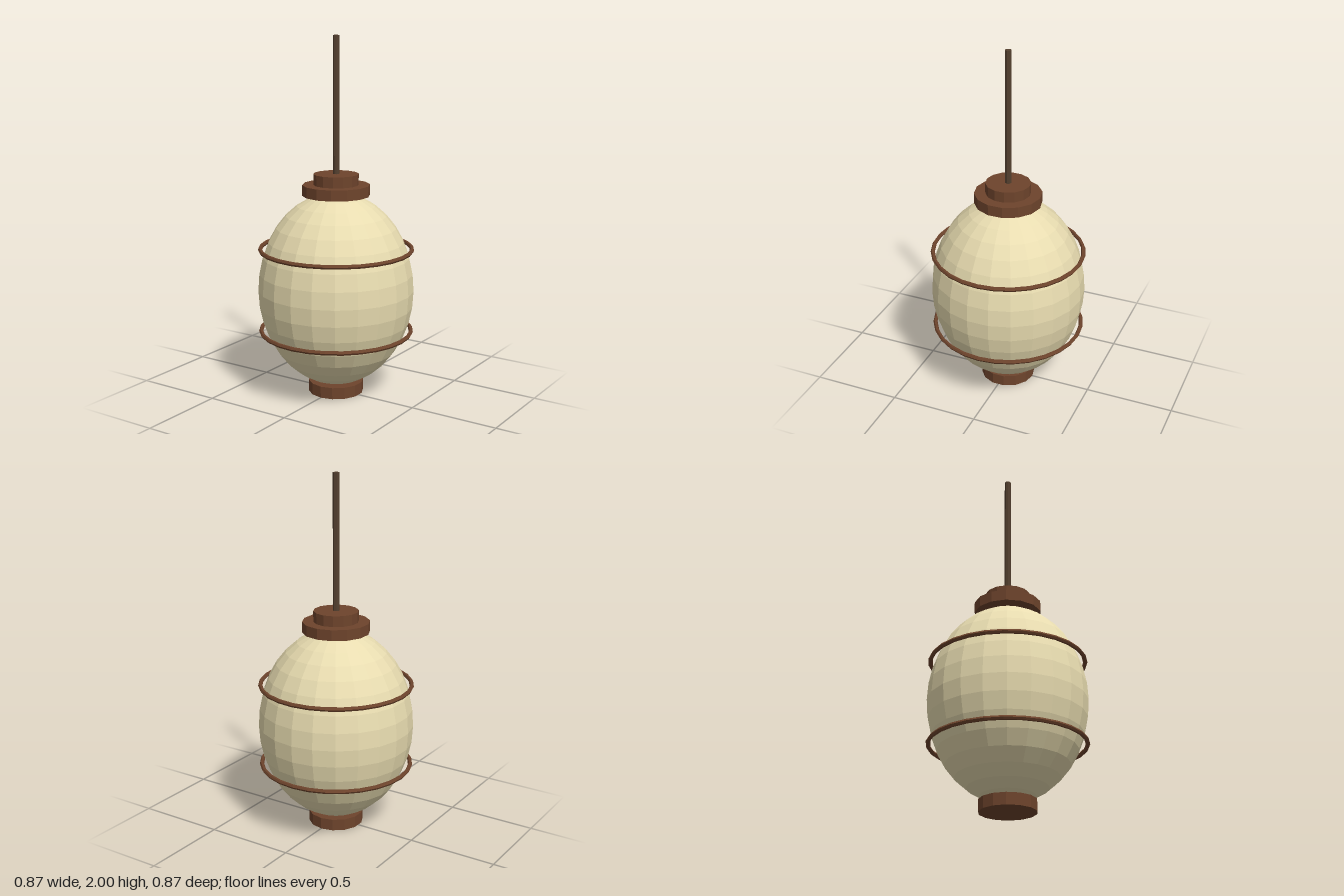
import * as THREE from 'three';

export function createModel() {
  const lantern = new THREE.Group();
  lantern.name = 'hangingLantern';

  const flat = (color) => new THREE.MeshStandardMaterial({ color, flatShading: true });
  const wood = flat(0x6e442c);
  const paper = flat(0xe8dcb0);
  const cordMaterial = flat(0x54402f);

  function add(name, geometry, material, y) {
    const mesh = new THREE.Mesh(geometry, material);
    mesh.name = name;
    mesh.position.y = y;
    lantern.add(mesh);
    return mesh;
  }

  // Upright disc or rod between two heights
  function addCylinder(name, radius, bottom, top, sides, material) {
    const height = top - bottom;
    return add(name, new THREE.CylinderGeometry(radius, radius, height, sides), material, bottom + height / 2);
  }

  // Faceted egg-shaped shade, with a corner facing the front
  const shade = new THREE.SphereGeometry(1, 22, 18);
  shade.rotateY(Math.PI / 2);
  shade.scale(0.435, 0.545, 0.435);
  add('shade', shade, paper, 0.6);

  // Base and stepped cap
  addCylinder('base', 0.155, 0, 0.065, 14, wood);
  addCylinder('capRim', 0.187, 1.13, 1.19, 14, wood);
  addCylinder('capTop', 0.125, 1.19, 1.25, 14, wood);

  // Hoops around the shade
  for (const [name, y] of [['lowerHoop', 0.362], ['upperHoop', 0.83]]) {
    const hoop = new THREE.TorusGeometry(0.422, 0.012, 6, 28);
    hoop.rotateX(Math.PI / 2);
    add(name, hoop, wood, y);
  }

  // Hanging rod
  addCylinder('hangingRod', 0.018, 1.24, 2, 8, cordMaterial);

  return lantern;
}
